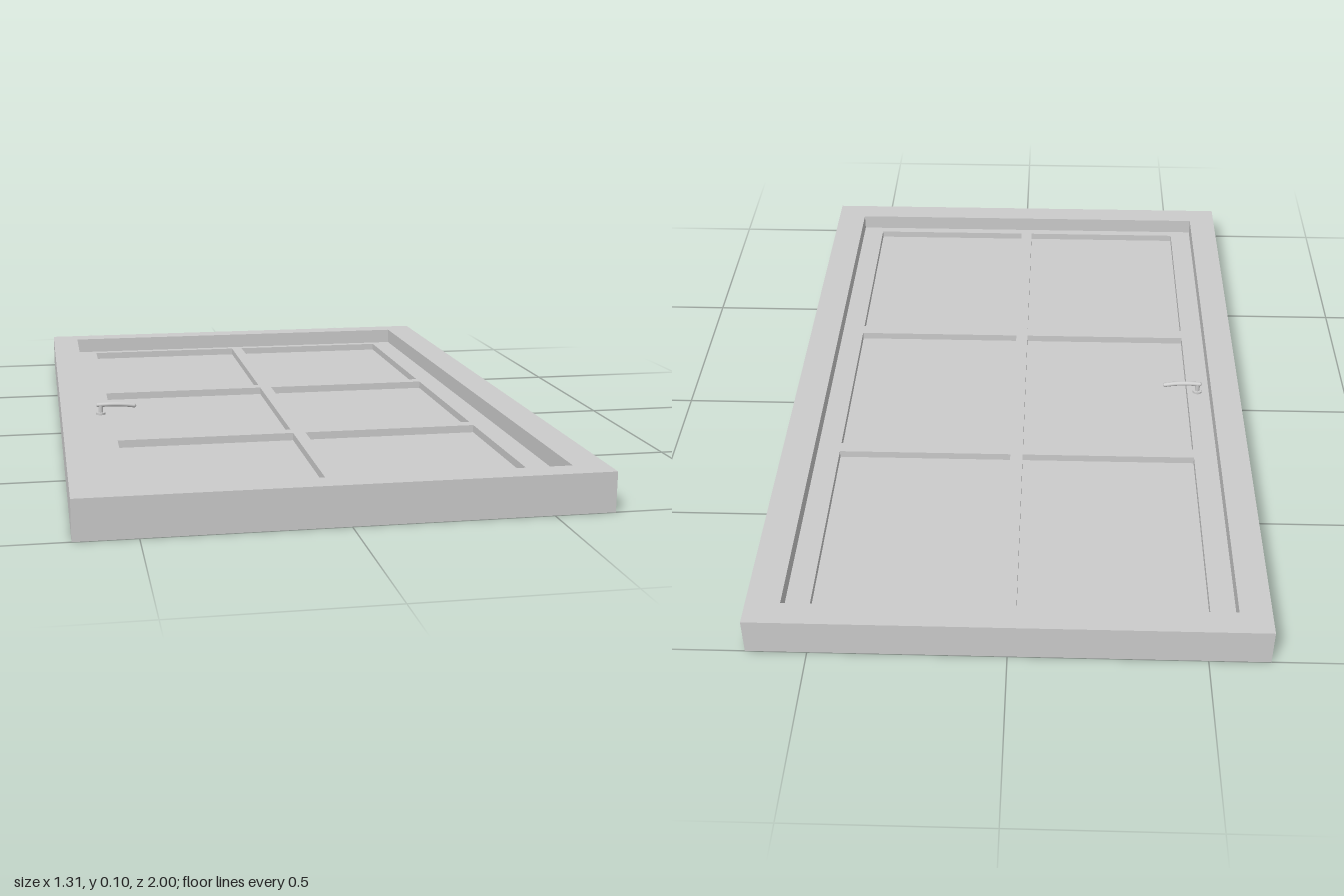
import * as THREE from 'three';

const TOP = 0.103;    // frame top
const DOOR = 0.057;   // door face
const PANEL = 0.036;  // recessed panel face

const mat = new THREE.MeshStandardMaterial({ color: 0xcccccc, side: THREE.DoubleSide });

function add(parent, name, geometry, x = 0, y = 0, z = 0) {
  const mesh = new THREE.Mesh(geometry, mat);
  mesh.name = name;
  mesh.position.set(x, y, z);
  parent.add(mesh);
  return mesh;
}

// Rectangles are [x0, x1, z0, z1]
const corners = ([x0, x1, z0, z1]) =>
  [[x0, -z1], [x1, -z1], [x1, -z0], [x0, -z0]].map(([x, y]) => new THREE.Vector2(x, y));

// Horizontal sheet facing up, with rectangular holes
function sheet(parent, name, rect, holes, y) {
  const shape = new THREE.Shape(corners(rect));
  for (const hole of holes) shape.holes.push(new THREE.Path(corners(hole).reverse()));
  add(parent, name, new THREE.ShapeGeometry(shape).rotateX(-Math.PI / 2), 0, y, 0);
}

// Four upright walls round a rectangle, facing outward or inward
function walls(parent, name, [x0, x1, z0, z1], y0, y1, inward = false) {
  const h = y1 - y0, cx = (x0 + x1) / 2, cz = (z0 + z1) / 2;
  const flip = inward ? Math.PI : 0;
  const sides = [
    [x1 - x0, 0, cx, z1], [x1 - x0, Math.PI, cx, z0],
    [z1 - z0, Math.PI / 2, x1, cz], [z1 - z0, -Math.PI / 2, x0, cz],
  ];
  for (const [width, turn, x, z] of sides) {
    add(parent, name, new THREE.PlaneGeometry(width, h).rotateY(turn + flip), x, (y0 + y1) / 2, z);
  }
}

export function createModel() {
  const model = new THREE.Group();
  model.name = 'door';

  // Frame: hollow surround, open underneath
  const frame = new THREE.Group();
  frame.name = 'frame';
  model.add(frame);
  const outer = [-0.655, 0.655, -1, 1];
  const opening = [-0.573, 0.567, -0.932, 0.93];
  sheet(frame, 'frameFace', outer, [opening], TOP);
  walls(frame, 'frameOuterWall', outer, 0, TOP);
  walls(frame, 'frameInnerWall', opening, 0, TOP, true);

  // Door leaf with six recessed panels
  const leaf = new THREE.Group();
  leaf.name = 'doorLeaf';
  model.add(leaf);
  const columns = [[-0.508, -0.02], [0.015, 0.503]];
  const rows = [[-0.905, -0.292], [-0.255, 0.29], [0.328, 0.905]];
  const panels = rows.flatMap((r) => columns.map((c) => [...c, ...r]));
  sheet(leaf, 'doorFace', opening, panels, DOOR);
  for (const rect of panels) {
    sheet(leaf, 'panel', rect, [], PANEL);
    walls(leaf, 'panelEdge', rect, PANEL, DOOR, true);
  }

  // Handle: rose, stem and a slightly bent lever
  const handle = new THREE.Group();
  handle.name = 'handle';
  handle.position.set(-0.538, DOOR, 0.016);
  model.add(handle);
  add(handle, 'handleRose', new THREE.CylinderGeometry(0.014, 0.014, 0.006, 24), 0, 0.003, 0);
  add(handle, 'handleStem', new THREE.CylinderGeometry(0.007, 0.007, 0.026, 16), 0, 0.016, 0);
  const path = new THREE.CatmullRomCurve3([
    new THREE.Vector3(-0.006, 0.028, 0), new THREE.Vector3(0.03, 0.029, 0.001),
    new THREE.Vector3(0.07, 0.027, 0.001), new THREE.Vector3(0.098, 0.023, 0),
  ]);
  add(handle, 'handleLever', new THREE.TubeGeometry(path, 20, 0.0065, 12));
  for (const t of [0, 1]) {
    const p = path.getPoint(t);
    add(handle, 'leverEnd', new THREE.SphereGeometry(0.0065, 12, 8), p.x, p.y, p.z);
  }

  return model;
}
